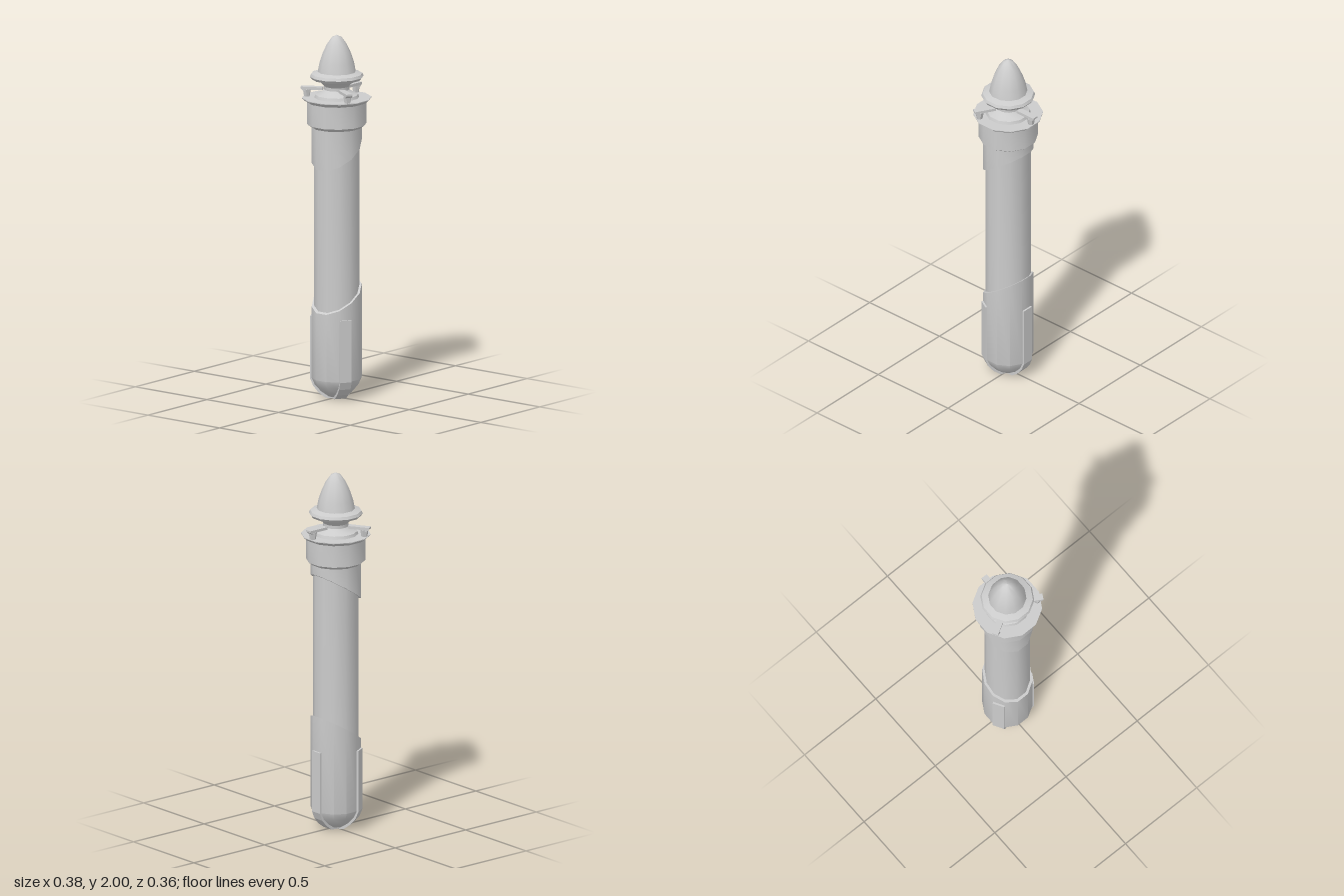
import * as THREE from 'three';
import { toCreasedNormals } from 'three/addons/utils/BufferGeometryUtils.js';

const SIDES = 12;
const material = new THREE.MeshStandardMaterial({ color: 0xcccccc, side: THREE.DoubleSide });

// Twelve-sided turned part; radii are measured to the middle of each flat.
function turned(name, profile, reshape) {
  const points = profile.map(([r, y]) => new THREE.Vector2(r / Math.cos(Math.PI / SIDES), y));
  const geometry = new THREE.LatheGeometry(points, SIDES, Math.PI / SIDES);
  if (reshape) {
    const p = geometry.attributes.position;
    for (let i = 0; i < p.count; i++) p.setY(i, reshape(p.getX(i), p.getY(i)));
  }
  const mesh = new THREE.Mesh(toCreasedNormals(geometry, 0.62), material);
  mesh.name = name;
  return mesh;
}

// Radial outline given as (radius, height), extruded across its width.
function radialPlate(name, outline, width) {
  const shape = new THREE.Shape(outline.map(([r, y]) => new THREE.Vector2(r, y)));
  const geometry = new THREE.ExtrudeGeometry(shape, { depth: width, bevelEnabled: false });
  geometry.translate(0, 0, -width / 2);
  const mesh = new THREE.Mesh(geometry, material);
  mesh.name = name;
  return mesh;
}

export function createModel() {
  const model = new THREE.Group();
  model.name = 'taperedHandle';
  const body = new THREE.Group();
  body.name = 'body';
  body.position.x = -0.007;
  model.add(body);

  // Long grip tube
  body.add(turned('gripTube', [[0.118, 0.1], [0.118, 1.5]]));

  // Lower sleeve: rounded end, slanted top rim
  body.add(turned('lowerSleeve', [
    [0, 0.006], [0.05, 0.01], [0.085, 0.036], [0.115, 0.072], [0.131, 0.11],
    [0.131, 0.563], [0.117, 0.563],
  ], (x, y) => (y > 0.5 ? y + 0.63 * x : y)));

  // Upper sleeve: slanted bottom rim
  body.add(turned('upperSleeve', [[0.117, 1.357], [0.131, 1.357], [0.131, 1.5]],
    (x, y) => (y < 1.4 ? y + 0.65 * x : y)));

  // Collar and wide brim
  body.add(turned('collar', [
    [0.128, 1.49], [0.155, 1.51], [0.155, 1.632], [0.166, 1.638],
    [0.182, 1.652], [0.182, 1.656], [0.1, 1.656],
  ]));

  // Waisted neck under the tip
  body.add(turned('neck', [
    [0.118, 1.655], [0.112, 1.672], [0.082, 1.685], [0.066, 1.7],
    [0.066, 1.718], [0.08, 1.735], [0.105, 1.757],
  ]));

  // Flange and pointed tip
  body.add(turned('flange', [
    [0.07, 1.757], [0.13, 1.757], [0.141, 1.772], [0.134, 1.787], [0.1, 1.798],
  ]));
  body.add(turned('tip', [
    [0.1, 1.796], [0.09, 1.85], [0.074, 1.9], [0.052, 1.95], [0.026, 1.987], [0, 2],
  ]));

  // Three raised ribs and three clips, evenly spaced
  for (let i = 0; i < 3; i++) {
    const angle = (i * 2 * Math.PI) / 3;

    const rib = radialPlate('rib', [
      [0, 0], [0.056, 0.002], [0.094, 0.03], [0.124, 0.066], [0.141, 0.108],
      [0.141, 0.45], [0.12, 0.45], [0.12, 0.11], [0.07, 0.04], [0, 0.02],
    ], 0.066);
    rib.rotation.y = angle;
    body.add(rib);

    const clip = new THREE.Group();
    clip.name = 'clip';
    clip.rotation.y = angle;
    clip.add(radialPlate('clipArm', [
      [0.075, 1.695], [0.15, 1.695], [0.178, 1.686], [0.195, 1.7],
      [0.195, 1.71], [0.075, 1.71],
    ], 0.035));
    const post = new THREE.Mesh(
      toCreasedNormals(new THREE.CylinderGeometry(0.023, 0.016, 0.042, 6), 0.5), material);
    post.name = 'clipPost';
    post.position.set(0.163, 1.674, 0);
    clip.add(post);
    body.add(clip);
  }
  return model;
}
